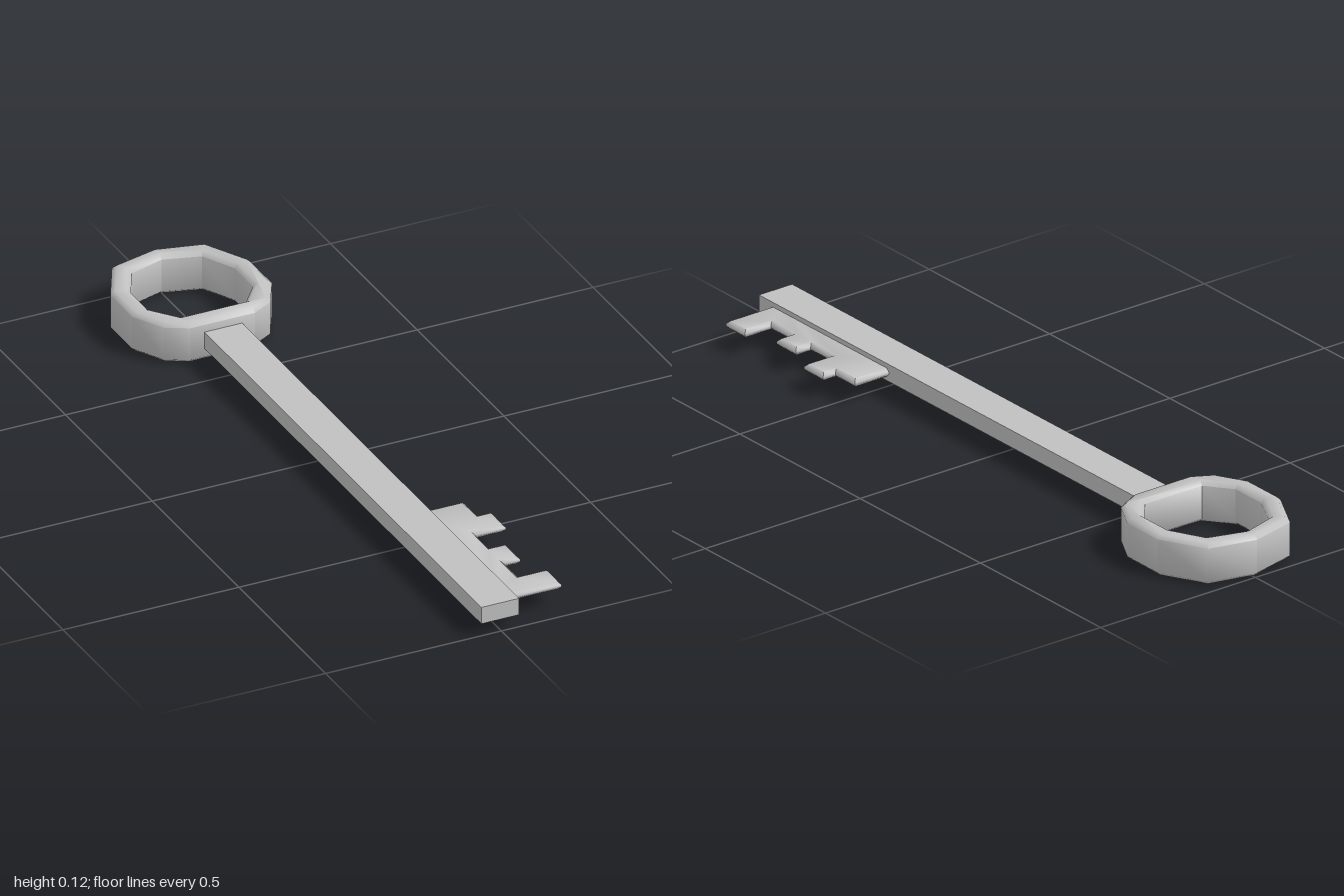
import * as THREE from 'three';
import { toCreasedNormals } from 'three/addons/utils/BufferGeometryUtils.js';

const toPoints = (list) => list.map(([x, z]) => new THREE.Vector2(x, z));

// Closes a half outline by mirroring it about x = 0; the first point lies on the axis
const mirrored = (half) => toPoints([...half, ...half.slice(1).reverse().map(([x, z]) => [-x, z])]);

// Chamfered flat plate: outline in x/z, spanning bottom..top in y
function plate(shape, bottom, top, bevelSize, bevelThickness) {
  const geometry = new THREE.ExtrudeGeometry(shape, {
    depth: top - bottom - 2 * bevelThickness,
    bevelEnabled: true, bevelSegments: 1,
    bevelSize, bevelThickness, bevelOffset: -bevelSize,
  });
  geometry.rotateX(Math.PI / 2);
  geometry.translate(0, top - bevelThickness, 0);
  return toCreasedNormals(geometry, 0.9);
}

export function createModel() {
  const model = new THREE.Group();
  model.name = 'key';
  const steel = new THREE.MeshStandardMaterial({ color: 0xc0c0c0 });
  steel.name = 'steel grey';

  const add = (name, geometry) => {
    const mesh = new THREE.Mesh(geometry, steel);
    mesh.name = name;
    model.add(mesh);
    return mesh;
  };

  // Faceted ring handle
  const ring = new THREE.Shape(mirrored([
    [0, -1], [0.133, -0.967], [0.199, -0.842], [0.199, -0.717], [0.152, -0.63], [0.092, -0.597],
  ]));
  ring.holes.push(new THREE.Path(mirrored([
    [0, -0.95], [0.1, -0.92], [0.147, -0.828], [0.147, -0.722], [0.092, -0.652],
  ])));
  add('handleRing', plate(ring, 0, 0.115, 0.012, 0.011)).position.x = -0.005;

  // Long rectangular shaft
  const shaft = add('shaft', new THREE.BoxGeometry(0.107, 0.048, 1.62));
  shaft.position.set(-0.0035, 0.059, 0.19);

  // Toothed bit with sharp bevelled edges
  const bit = new THREE.Shape(toPoints([
    [0, 0.46], [0.16, 0.46], [0.16, 0.54], [0.2, 0.54], [0.2, 0.62], [0.112, 0.62], [0.112, 0.705],
    [0.16, 0.705], [0.16, 0.785], [0.112, 0.785], [0.112, 0.87], [0.196, 0.87], [0.196, 0.95], [0, 0.95],
  ]));
  add('bit', plate(bit, 0.046, 0.07, 0.009, 0.009));

  return model;
}
